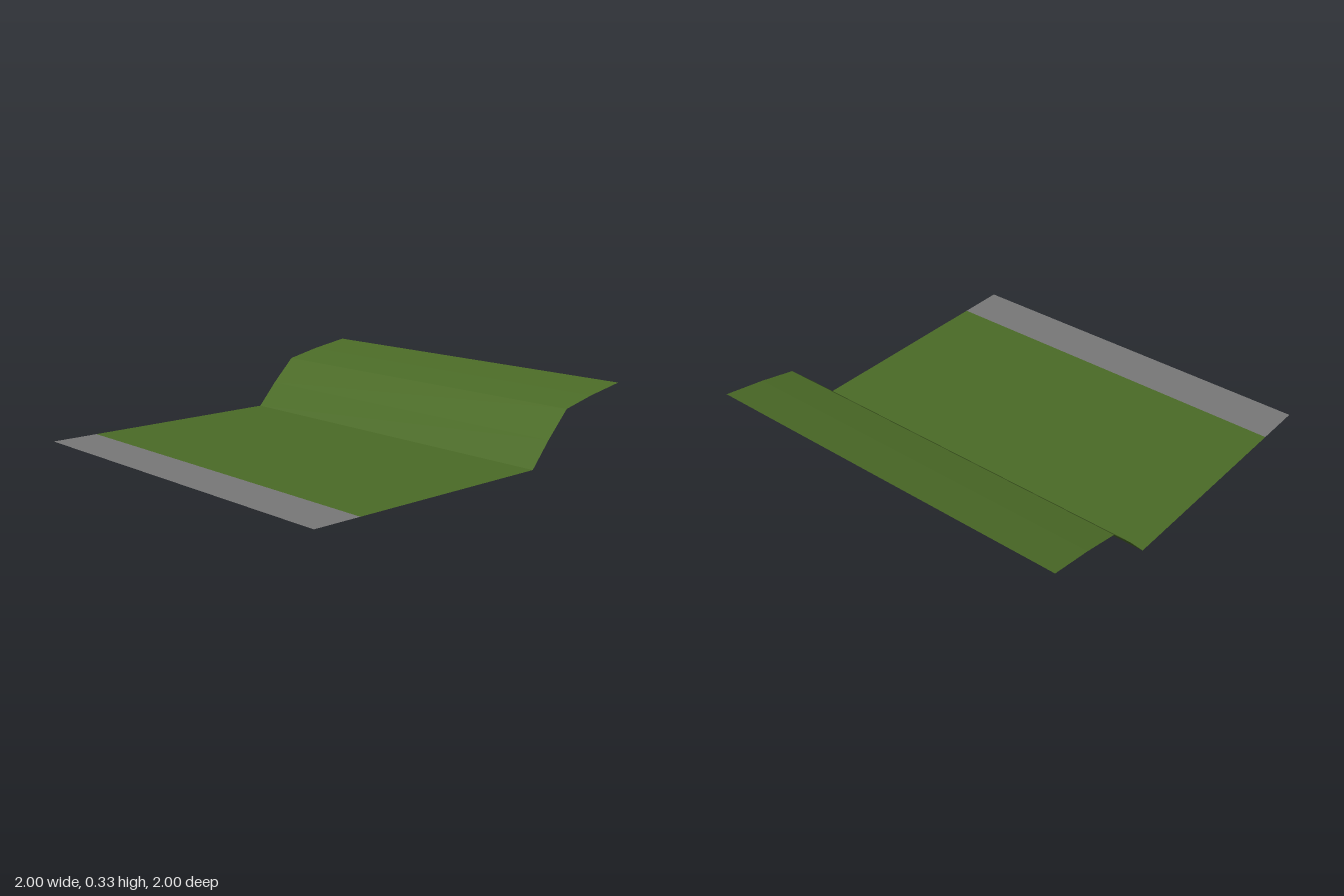
import * as THREE from 'three';

// Open sheet spanning the full width, following a [z, y] profile from front to back
function sheet(name, profile, material) {
  const geometry = new THREE.PlaneGeometry(2, 1, 1, profile.length - 1);
  const pos = geometry.attributes.position;
  for (let i = 0; i < pos.count; i++) {
    // plane rows run back to front so the upper side is the front face
    const [z, y] = profile[profile.length - 1 - Math.floor(i / 2)];
    pos.setXYZ(i, pos.getX(i), y, z);
  }
  const faceted = geometry.toNonIndexed();
  faceted.computeVertexNormals();
  const mesh = new THREE.Mesh(faceted, material);
  mesh.name = name;
  return mesh;
}

export function createModel() {
  const grass = new THREE.MeshStandardMaterial({ color: 0x4b6b27, side: THREE.DoubleSide, flatShading: true });
  grass.name = 'grass green';
  const paving = new THREE.MeshStandardMaterial({ color: 0x787878, side: THREE.DoubleSide, flatShading: true });
  paving.name = 'paving grey';

  const group = new THREE.Group();
  group.name = 'grassBank';
  // Grey strip along the front edge
  group.add(sheet('pavedEdge', [[1, 0], [0.75, 0]], paving));
  // Level lawn
  group.add(sheet('lawn', [[0.75, 0], [-0.35, 0]], grass));
  // Steep slope up to the shoulder
  group.add(sheet('steepSlope', [[-0.35, 0], [-0.46, 0.125], [-0.59, 0.255]], grass));
  // Gentle slope to the back edge
  group.add(sheet('upperSlope', [[-0.59, 0.255], [-0.78, 0.295], [-1, 0.33]], grass));
  return group;
}
